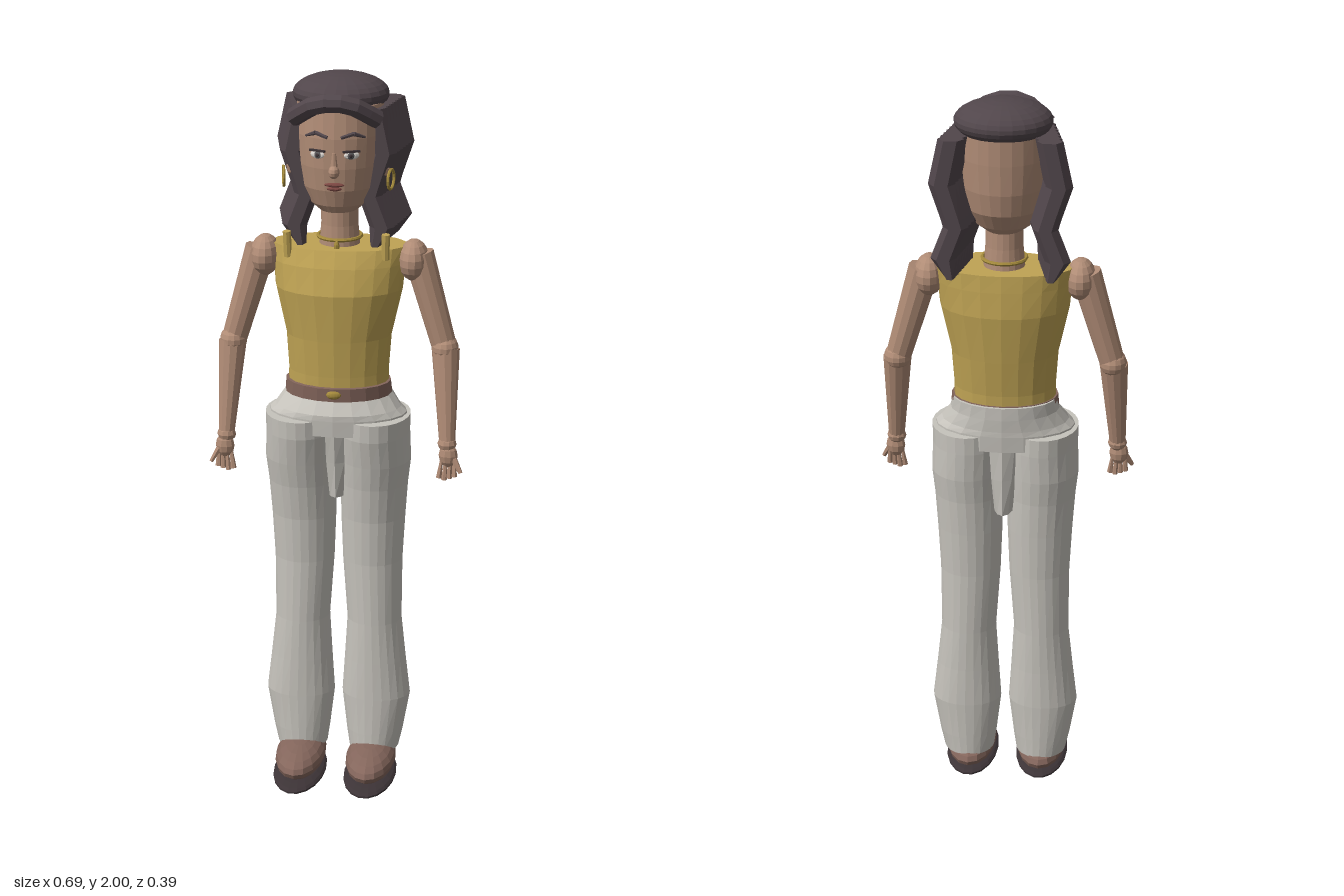
import * as THREE from 'three';

const mat = (name, color) => {
  const m = new THREE.MeshStandardMaterial({ color, flatShading: true });
  m.name = name;
  return m;
};

export function createModel() {
  const model = new THREE.Group();
  const skin = mat('skin', 0xb08c76), hair = mat('hair', 0x51464b), gold = mat('gold top', 0xbfa354);
  const cloth = mat('trousers', 0xc6c3bc), brown = mat('brown leather', 0x84665c), dark = mat('sole', 0x3d3437);
  const white = mat('eye white', 0xe0dbd5), iris = mat('iris', 0x5b5a5c), lip = mat('lips', 0x7d4843);
  const metal = mat('jewellery', 0xa48a3c);

  const add = (name, geo, material, pos = [0, 0, 0], scale = [1, 1, 1], rot = [0, 0, 0]) => {
    const mesh = new THREE.Mesh(geo, material);
    mesh.name = name;
    mesh.position.set(...pos);
    mesh.scale.set(...scale);
    mesh.rotation.set(...rot);
    model.add(mesh);
    return mesh;
  };

  // Capped loft through horizontal ellipses, rows from bottom to top: [y, cx, cz, rx, rz]
  const loft = (rows, seg = 20) => {
    const p = [], idx = [], n = rows.length;
    for (const [y, cx, cz, rx, rz] of rows)
      for (let j = 0; j < seg; j++) {
        const t = (j / seg) * Math.PI * 2;
        p.push(cx + rx * Math.cos(t), y, cz + rz * Math.sin(t));
      }
    for (const r of [rows[0], rows[n - 1]]) p.push(r[1], r[0], r[2]);
    for (let j = 0; j < seg; j++) {
      const k = (j + 1) % seg, top = (n - 1) * seg;
      for (let i = 0; i < n - 1; i++) {
        const a = i * seg + j, b = i * seg + k;
        idx.push(a, a + seg, b, b, a + seg, b + seg);
      }
      idx.push(n * seg, j, k, n * seg + 1, top + k, top + j);
    }
    const g = new THREE.BufferGeometry();
    g.setAttribute('position', new THREE.Float32BufferAttribute(p, 3));
    g.setIndex(idx);
    const flat = g.toNonIndexed();
    flat.computeVertexNormals();
    return flat;
  };

  const ball = (name, material, pos, radii, seg = 14, rot) =>
    add(name, new THREE.SphereGeometry(1, seg, Math.ceil(seg * 0.6)), material, pos, radii, rot);

  // Tapered round limb between two points
  const limb = (name, material, from, to, r0, r1, seg = 12) => {
    const a = new THREE.Vector3(...from), b = new THREE.Vector3(...to), d = b.clone().sub(a);
    const mesh = add(name, new THREE.CylinderGeometry(r1, r0, d.length(), seg), material);
    mesh.position.copy(a).add(b).multiplyScalar(0.5);
    mesh.quaternion.setFromUnitVectors(new THREE.Vector3(0, 1, 0), d.normalize());
    return mesh;
  };

  // Torso, belt and hips
  add('top', loft([
    [1.165, 0, -0.04, 0.137, 0.098], [1.2, 0, -0.04, 0.136, 0.099], [1.3, 0, -0.043, 0.143, 0.108],
    [1.43, 0, -0.045, 0.172, 0.12], [1.5, 0, -0.052, 0.178, 0.108], [1.545, 0, -0.06, 0.182, 0.095],
  ]), gold);
  add('belt', loft([[1.135, 0, -0.04, 0.146, 0.108], [1.172, 0, -0.035, 0.143, 0.106]]), brown);
  ball('buckle', metal, [0, 1.155, 0.068], [0.02, 0.012, 0.009]);
  add('waist', loft([
    [1.04, 0, -0.03, 0.19, 0.115], [1.085, 0, -0.03, 0.188, 0.118], [1.1, 0, -0.03, 0.172, 0.118],
    [1.135, 0, -0.042, 0.147, 0.108], [1.17, 0, -0.056, 0.138, 0.094],
  ]), cloth);
  add('crotch', loft([
    [0.845, 0, -0.05, 0.03, 0.08], [0.95, 0, -0.045, 0.05, 0.09], [1.07, 0, -0.035, 0.07, 0.105],
  ], 12), cloth);

  // Head and neck
  add('neck', loft([[1.53, 0, -0.06, 0.056, 0.055], [1.6, 0, -0.058, 0.05, 0.05], [1.7, 0, -0.055, 0.05, 0.05]]), skin);
  add('head', loft([
    [1.645, 0, -0.045, 0.052, 0.065], [1.665, 0, -0.05, 0.078, 0.083], [1.71, 0, -0.057, 0.1, 0.105],
    [1.77, 0, -0.06, 0.11, 0.115], [1.85, 0, -0.062, 0.116, 0.118], [1.93, 0, -0.068, 0.115, 0.114],
  ], 24), skin);
  add('necklace', new THREE.TorusGeometry(0.058, 0.005, 6, 20), metal, [0, 1.565, -0.058], [1, 1, 1], [Math.PI / 2, 0, 0]);
  ball('pendant', metal, [0, 1.55, 0.006], [0.008, 0.016, 0.008], 8);

  // Face
  ball('nose', skin, [0, 1.765, 0.058], [0.015, 0.018, 0.02], 10);
  add('noseBridge', new THREE.CylinderGeometry(0.005, 0.011, 0.05, 8), skin, [0, 1.79, 0.056]);
  ball('upperLip', lip, [0, 1.729, 0.052], [0.027, 0.006, 0.008], 10);
  ball('lowerLip', lip, [0, 1.718, 0.05], [0.02, 0.006, 0.008], 10);

  // Hair crown and rolled fringe
  ball('hairCrown', hair, [0, 1.945, -0.084], [0.128, 0.055, 0.116], 24);
  const fringe = [[-0.11, 1.9, 0.025], [-0.04, 1.945, 0.07], [0.04, 1.945, 0.07], [0.11, 1.9, 0.025]];
  const curve = new THREE.CatmullRomCurve3(fringe.map(q => new THREE.Vector3(...q)));
  add('fringe', new THREE.TubeGeometry(curve, 7, 0.025, 8), hair);

  for (const s of [-1, 1]) {
    const side = s > 0 ? 'left' : 'right';
    const at = (x, y, z) => [s * x, y, z];

    // Eyes, brows, ears and hoops
    ball(side + 'Eye', white, at(0.045, 1.808, 0.046), [0.021, 0.011, 0.007], 12, [0, s * 0.4, 0]);
    ball(side + 'Iris', iris, at(0.044, 1.808, 0.0515), [0.01, 0.01, 0.004], 10, [0, s * 0.4, 0]);
    ball(side + 'Pupil', dark, at(0.044, 1.808, 0.0545), [0.005, 0.005, 0.003], 8, [0, s * 0.4, 0]);
    add(side + 'Lid', new THREE.BoxGeometry(0.046, 0.005, 0.008), dark, at(0.045, 1.819, 0.05), [1, 1, 1], [0, s * 0.4, 0]);
    limb(side + 'BrowInner', hair, at(0.018, 1.855, 0.055), at(0.05, 1.865, 0.045), 0.005, 0.006, 6);
    limb(side + 'BrowOuter', hair, at(0.05, 1.865, 0.045), at(0.078, 1.853, 0.027), 0.006, 0.003, 6);
    ball(side + 'Ear', skin, at(0.118, 1.76, -0.03), [0.022, 0.032, 0.024], 10);
    add(side + 'Hoop', new THREE.TorusGeometry(0.026, 0.004, 6, 16), metal, at(0.142, 1.735, -0.005), [1, 1, 1], [0, Math.PI / 2 - s * 0.2, 0]);

    // Zigzag locks, fanning outward toward the back
    for (let i = 0; i < 7; i++) {
      const z = -0.027 - i * 0.0245, o = i * 0.005;
      const rows = [
        [1.548, 0.1, 0.014], [1.6, 0.117, 0.034], [1.685, 0.085, 0.033],
        [1.71, 0.092, 0.033], [1.8, 0.12, 0.035], [1.92, 0.095, 0.034],
      ];
      add(side + 'Lock' + (i + 1), loft(rows.map(([y, x, r]) => [y, s * (x + o), z, r, 0.026]), 6), hair);
    }

    // Shoulder strap post and arm
    limb(side + 'Strap', gold, at(0.13, 1.52, 0.008), at(0.132, 1.59, 0.014), 0.011, 0.011, 8);
    ball(side + 'Shoulder', skin, at(0.2, 1.507, -0.047), [0.041, 0.056, 0.062]);
    limb(side + 'UpperArm', skin, at(0.286, 1.27, -0.04), at(0.212, 1.525, -0.048), 0.034, 0.042);
    ball(side + 'Elbow', skin, at(0.288, 1.268, -0.038), [0.037, 0.037, 0.042]);
    limb(side + 'Forearm', skin, at(0.302, 1.02, 0.012), at(0.29, 1.265, -0.036), 0.022, 0.038);
    ball(side + 'Wrist', skin, at(0.302, 1.012, 0.013), [0.026, 0.022, 0.025], 10);
    ball(side + 'Palm', skin, at(0.306, 0.98, 0.018), [0.026, 0.034, 0.02], 10);
    for (let f = 0; f < 4; f++)
      limb(side + 'Finger' + (f + 1), skin, at(0.29 + f * 0.011, 0.975, 0.02),
        at(0.282 + f * 0.014, 0.912 + Math.abs(f - 1) * 0.005, 0.026), 0.008, 0.004, 6).rotateX(Math.PI);
    limb(side + 'Thumb', skin, at(0.315, 0.985, 0.02), at(0.342, 0.937, 0.037), 0.01, 0.006, 6);

    // Flared trouser leg
    const leg = [
      [0.075, 0.102, -0.037, 0.07, 0.073], [0.13, 0.104, -0.038, 0.08, 0.074], [0.24, 0.107, -0.04, 0.096, 0.076],
      [0.35, 0.104, -0.04, 0.086, 0.076], [0.47, 0.101, -0.041, 0.076, 0.077], [0.65, 0.095, -0.042, 0.083, 0.079],
      [0.78, 0.096, -0.041, 0.089, 0.087], [0.88, 0.099, -0.037, 0.093, 0.098], [0.95, 0.102, -0.034, 0.098, 0.11],
      [1.03, 0.099, -0.028, 0.098, 0.121], [1.08, 0.1, -0.027, 0.098, 0.123],
    ];
    add(side + 'Leg', loft(leg.map(([y, x, z, rx, rz]) => [y, s * x, z, rx, rz]), 24), cloth);

    // Shoe
    ball(side + 'Shoe', brown, at(0.1, 0.06, 0.022), [0.07, 0.045, 0.15], 16);
    ball(side + 'Sole', dark, at(0.1, 0.018, 0.037), [0.074, 0.018, 0.16], 18);
  }

  return model;
}
